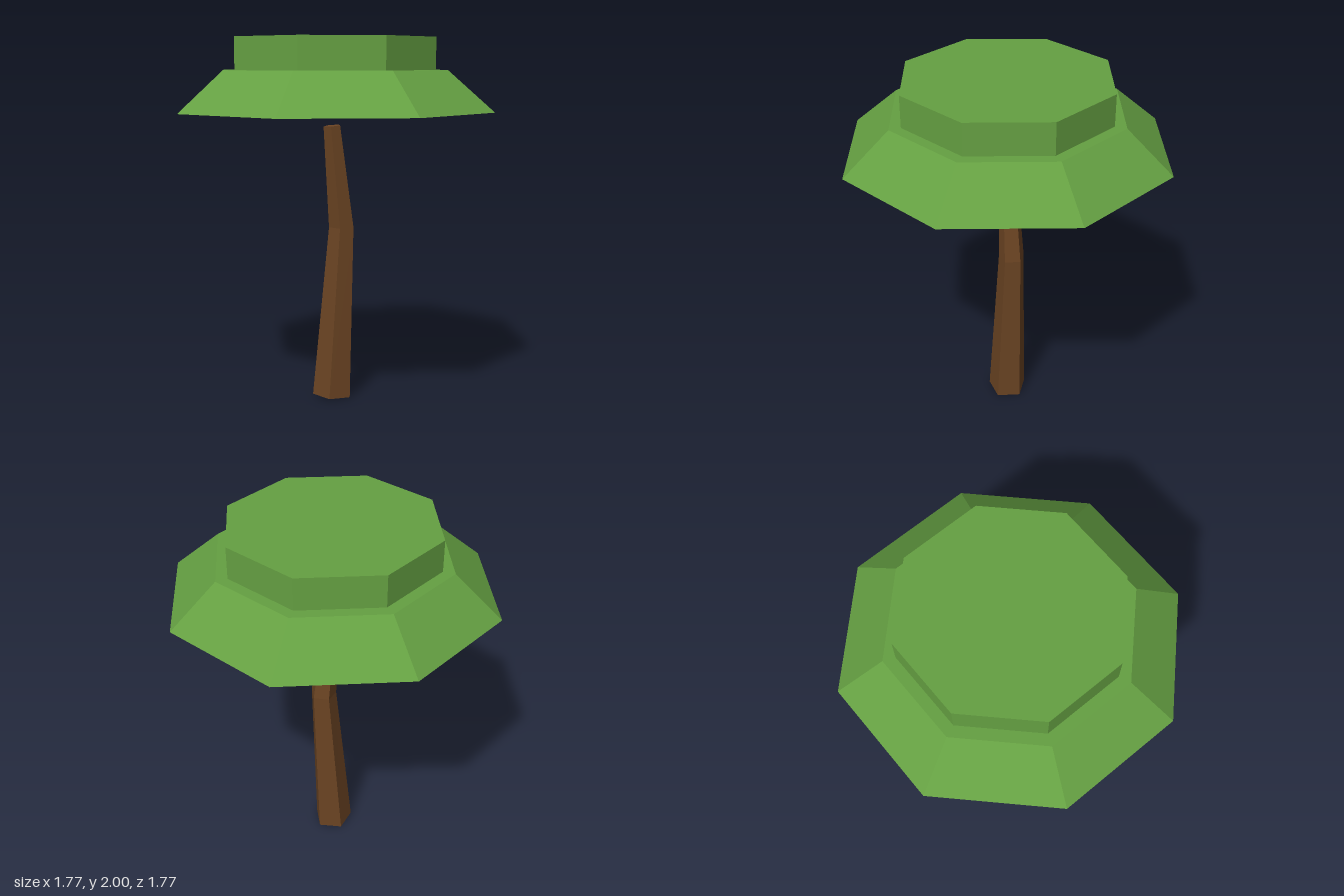
import * as THREE from 'three';

const leafGreen = new THREE.MeshStandardMaterial({ name: 'leafGreen', color: 0x65a042, flatShading: true });
const barkBrown = new THREE.MeshStandardMaterial({ name: 'barkBrown', color: 0x6b4423, flatShading: true });

// Trunk rings from bottom to top: centre, radius and tilt (rise per unit of x)
const RINGS = [
  { x: 0, y: 0.007, r: 0.11, tilt: -0.065 },
  { x: 0.06, y: 0.965, r: 0.072, tilt: 0.025 },
  { x: 0, y: 1.527, r: 0.048, tilt: 0.09 },
];

// Bent five-sided trunk: a unit cylinder whose three rings are placed by the table above
function trunkGeometry() {
  const geometry = new THREE.CylinderGeometry(1, 1, 2, 5, 2, false, Math.PI);
  const p = geometry.attributes.position;
  for (let i = 0; i < p.count; i++) {
    const ring = RINGS[Math.round(p.getY(i)) + 1];
    const dx = p.getX(i) * ring.r;
    p.setXYZ(i, ring.x + dx, ring.y + dx * ring.tilt, p.getZ(i) * ring.r);
  }
  geometry.computeVertexNormals();
  return geometry;
}

// Octagonal foliage tier between two heights
function tier(name, topRadius, bottomRadius, y0, y1) {
  const mesh = new THREE.Mesh(new THREE.CylinderGeometry(topRadius, bottomRadius, y1 - y0, 8), leafGreen);
  mesh.name = name;
  mesh.position.y = (y0 + y1) / 2;
  return mesh;
}

export function createModel() {
  const tree = new THREE.Group();
  tree.name = 'tree';

  const trunk = new THREE.Mesh(trunkGeometry(), barkBrown);
  trunk.name = 'trunk';

  tree.add(
    trunk,
    tier('lowerCanopy', 0.633, 0.884, 1.61, 1.828),
    tier('upperCanopy', 0.569, 0.569, 1.828, 2),
  );
  return tree;
}
